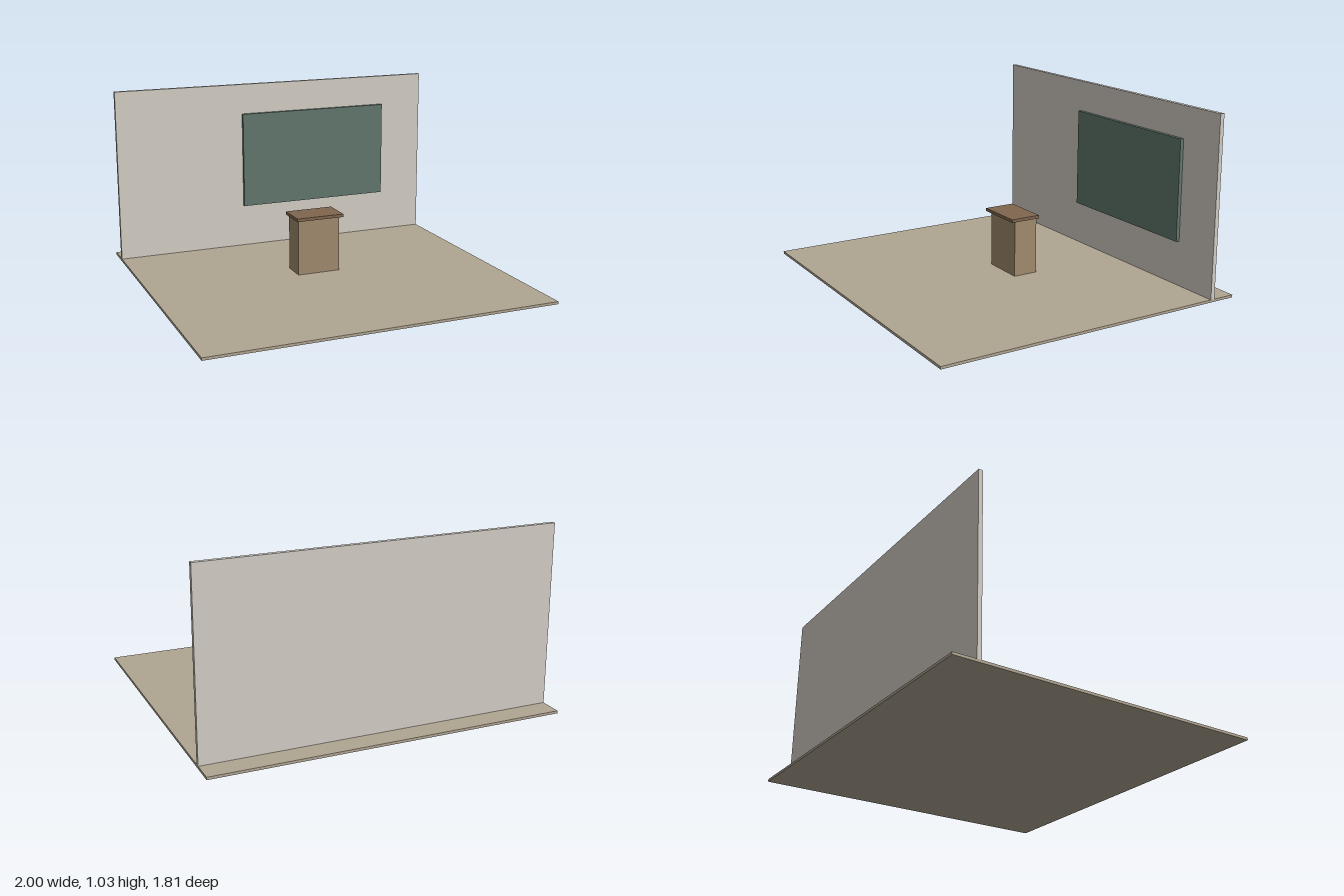
import * as THREE from 'three';

const material = (name, color) => new THREE.MeshStandardMaterial({ name, color });

export function createModel() {
  const group = new THREE.Group();
  group.name = 'classroom';

  const floorTan = material('floorTan', 0xb0a592);
  const wallGrey = material('wallGrey', 0xd4cfc6);
  const boardGreen = material('boardGreen', 0x62776d);
  const lightWood = material('lightWood', 0xa08b6d);
  const darkWood = material('darkWood', 0x80664f);

  // Box given by its limits along each axis
  const slab = (name, mat, [x0, x1], [y0, y1], [z0, z1], parent = group) => {
    const mesh = new THREE.Mesh(new THREE.BoxGeometry(x1 - x0, y1 - y0, z1 - z0), mat);
    mesh.position.set((x0 + x1) / 2, (y0 + y1) / 2, (z0 + z1) / 2);
    mesh.name = name;
    parent.add(mesh);
  };

  // Room shell
  slab('floor', floorTan, [-1, 1], [0, 0.015], [-0.907, 0.907]);
  slab('backWall', wallGrey, [-1, 1], [0.015, 1.035], [-0.777, -0.752]);

  // Chalkboard mounted on the wall, off centre
  slab('chalkboard', boardGreen, [-0.219, 0.724], [0.272, 0.853], [-0.752, -0.731]);

  // Lectern with an overhanging top
  const lectern = new THREE.Group();
  lectern.name = 'lectern';
  group.add(lectern);
  slab('lecternBody', lightWood, [-0.127, 0.127], [0.015, 0.342], [-0.199, -0.054], lectern);
  slab('lecternTop', darkWood, [-0.143, 0.143], [0.342, 0.36], [-0.208, -0.027], lectern);

  return group;
}
